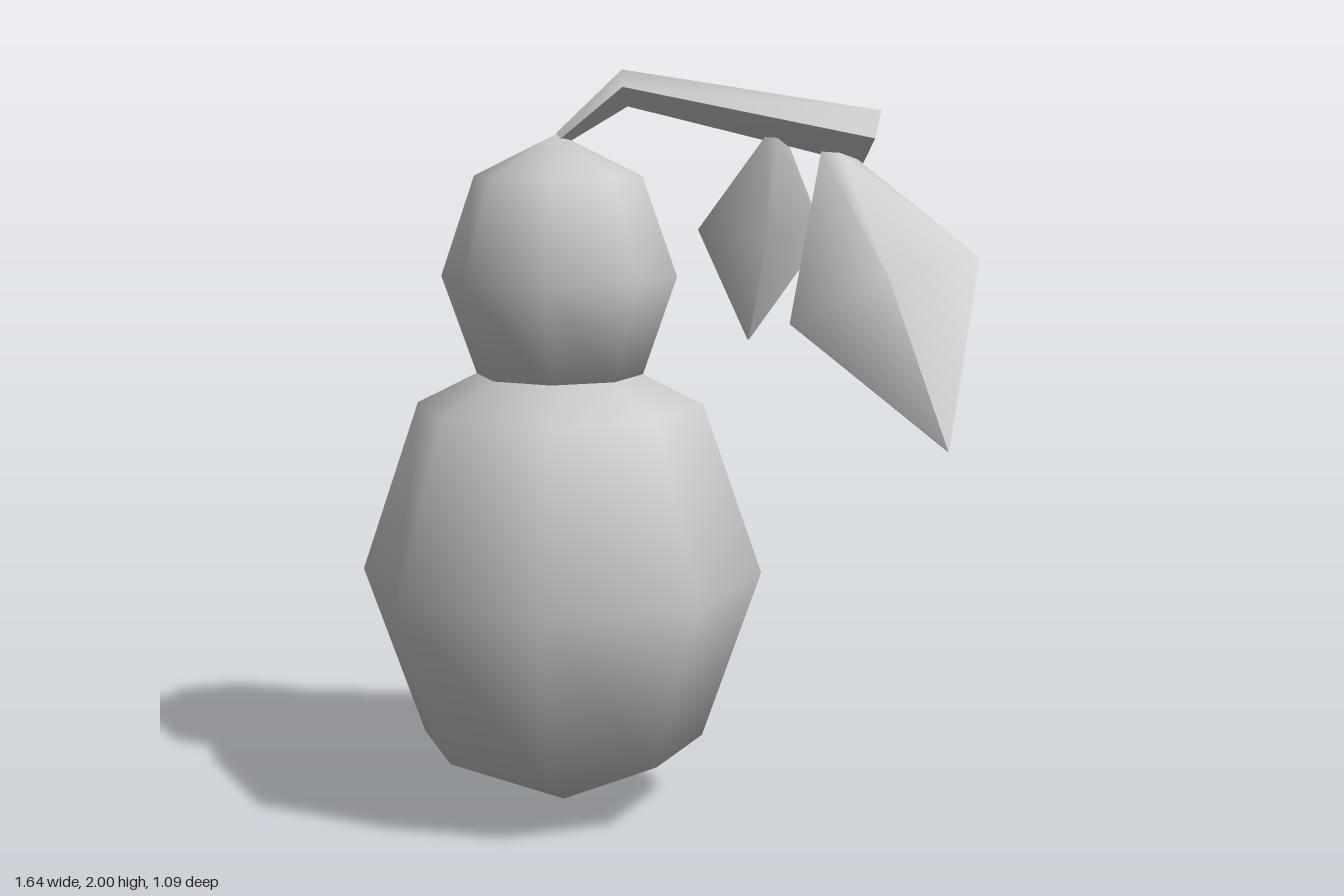
import * as THREE from 'three';
import { toCreasedNormals } from 'three/addons/utils/BufferGeometryUtils.js';

const AXIS_X = -0.275;

// Closed skin over four-cornered cross-sections; corners run anticlockwise as seen from the start.
function loft(rings) {
  const positions = rings.flat(2);
  const index = [0, 1, 2, 0, 2, 3];
  for (let r = 0; r < rings.length - 1; r++) {
    for (let i = 0; i < 4; i++) {
      const j = (i + 1) % 4;
      const a = r * 4 + i, b = r * 4 + j;
      index.push(a, a + 4, b + 4);
      index.push(a, b + 4, b);
    }
  }
  const e = (rings.length - 1) * 4;
  index.push(e, e + 2, e + 1, e, e + 3, e + 2);
  const geometry = new THREE.BufferGeometry();
  geometry.setAttribute('position', new THREE.Float32BufferAttribute(positions, 3));
  geometry.setIndex(index);
  return toCreasedNormals(geometry, Math.PI / 3);
}

// Small ring around a leaf's tip
function tipRing([x, y, z]) {
  const d = 0.002;
  return [[x - d, y, z], [x, y, z + d], [x + d, y, z], [x, y, z - d]];
}

export function createModel() {
  const model = new THREE.Group();
  const grey = new THREE.MeshStandardMaterial({ color: 0xcccccc });
  grey.name = 'light grey';

  const add = (name, geometry) => {
    const mesh = new THREE.Mesh(geometry, grey);
    mesh.name = name;
    model.add(mesh);
    return mesh;
  };

  // Pear-shaped fruit: two stretched low-poly balls
  const bulb = (name, radius, halfHeight, y) => {
    const geometry = new THREE.SphereGeometry(1, 8, 4);
    geometry.scale(radius, halfHeight, radius);
    add(name, geometry).position.set(AXIS_X, y, 0);
  };
  bulb('fruitBody', 0.545, 0.655, 0.655);
  bulb('fruitNeck', 0.315, 0.375, 1.46);

  // Bent stem with a diamond cross-section: top, back, bottom, front
  const stemRing = (top, side, bottom, half) => [
    [...top, 0], [...side, -half], [...bottom, 0], [...side, half],
  ];
  add('stem', loft([
    stemRing([-0.28, 1.835], [-0.265, 1.822], [-0.25, 1.81], 0.022),
    stemRing([-0.105, 2.0], [-0.1, 1.955], [-0.09, 1.905], 0.055),
    stemRing([0.572, 1.895], [0.55, 1.825], [0.525, 1.755], 0.11),
  ]));

  // Hanging leaves: left, front, right, back
  add('largeLeaf', loft([
    [[0.415, 1.79, 0.04], [0.463, 1.787, 0.05], [0.51, 1.77, 0.03], [0.462, 1.773, 0.02]],
    [[0.335, 1.36, 0.22], [0.58, 1.485, 0.275], [0.82, 1.525, 0.15], [0.576, 1.4, 0.095]],
    tipRing([0.73, 1.06, 0.365]),
  ]));
  add('smallLeaf', loft([
    [[0.275, 1.835, 0.015], [0.303, 1.823, 0.022], [0.328, 1.817, 0], [0.3, 1.829, -0.007]],
    [[0.095, 1.585, 0.005], [0.278, 1.565, 0.02], [0.43, 1.565, -0.085], [0.247, 1.59, -0.1]],
    tipRing([0.23, 1.28, -0.105]),
  ]));

  return model;
}
